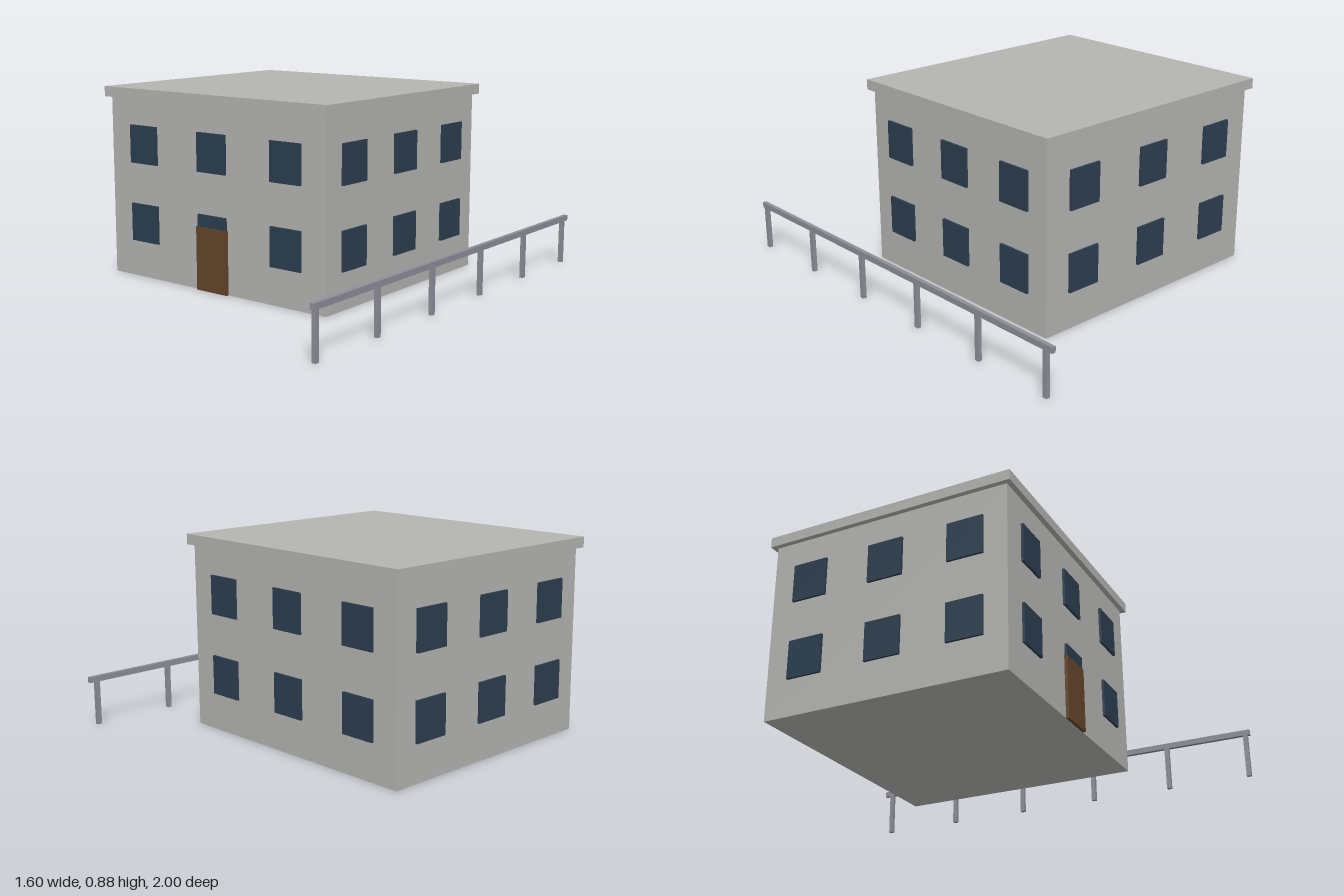
import * as THREE from 'three';

const material = (name, color) => {
  const m = new THREE.MeshStandardMaterial({ color });
  m.name = name;
  return m;
};

export function createModel() {
  const concrete = material('concrete grey', 0xb4b4b1);
  const glass = material('dark blue glass', 0x2c3e50);
  const wood = material('brown wood', 0x64452a);
  const metal = material('rail grey', 0x8e8e9a);

  const model = new THREE.Group();
  model.name = 'houseWithRailing';

  const box = (parent, name, mat, size, pos) => {
    const mesh = new THREE.Mesh(new THREE.BoxGeometry(...size), mat);
    mesh.name = name;
    mesh.position.set(...pos);
    parent.add(mesh);
    return mesh;
  };

  // Building, centred on its own origin
  const W = 1.248, D = 1.128, H = 0.829;
  const building = new THREE.Group();
  building.name = 'building';
  building.position.set(-0.155, 0, -0.062);
  model.add(building);
  box(building, 'walls', concrete, [W, H, D], [0, H / 2, 0]);
  box(building, 'flatRoof', concrete, [W + 0.047, 0.047, D + 0.047], [0, H + 0.0235, 0]);

  // Three windows on each of two floors, on all four sides
  const size = 0.165, height = 0.175, proud = 0.011;
  for (const y of [0.256, 0.62]) {
    for (const i of [-1, 0, 1]) {
      for (const side of [-1, 1]) {
        box(building, side > 0 ? 'frontWindow' : 'backWindow', glass,
          [size, height, proud], [i * W / 3, y, side * (D + proud) / 2]);
        box(building, side > 0 ? 'leftWindow' : 'rightWindow', glass,
          [proud, height, size], [side * (W + proud) / 2, y, i * D / 3]);
      }
    }
  }

  // Door, just proud of the window above it
  box(building, 'door', wood, [0.176, 0.288, 0.014], [0, 0.144, D / 2 + 0.007]);

  // Railing along the left side
  const railing = new THREE.Group();
  railing.name = 'railing';
  railing.position.x = 0.79;
  model.add(railing);
  box(railing, 'rail', metal, [0.019, 0.026, 2], [0, 0.214, 0]);
  for (let i = 0; i < 6; i++) {
    box(railing, 'post', metal, [0.018, 0.202, 0.021], [0, 0.101, 0.979 - i * 0.388]);
  }

  return model;
}
